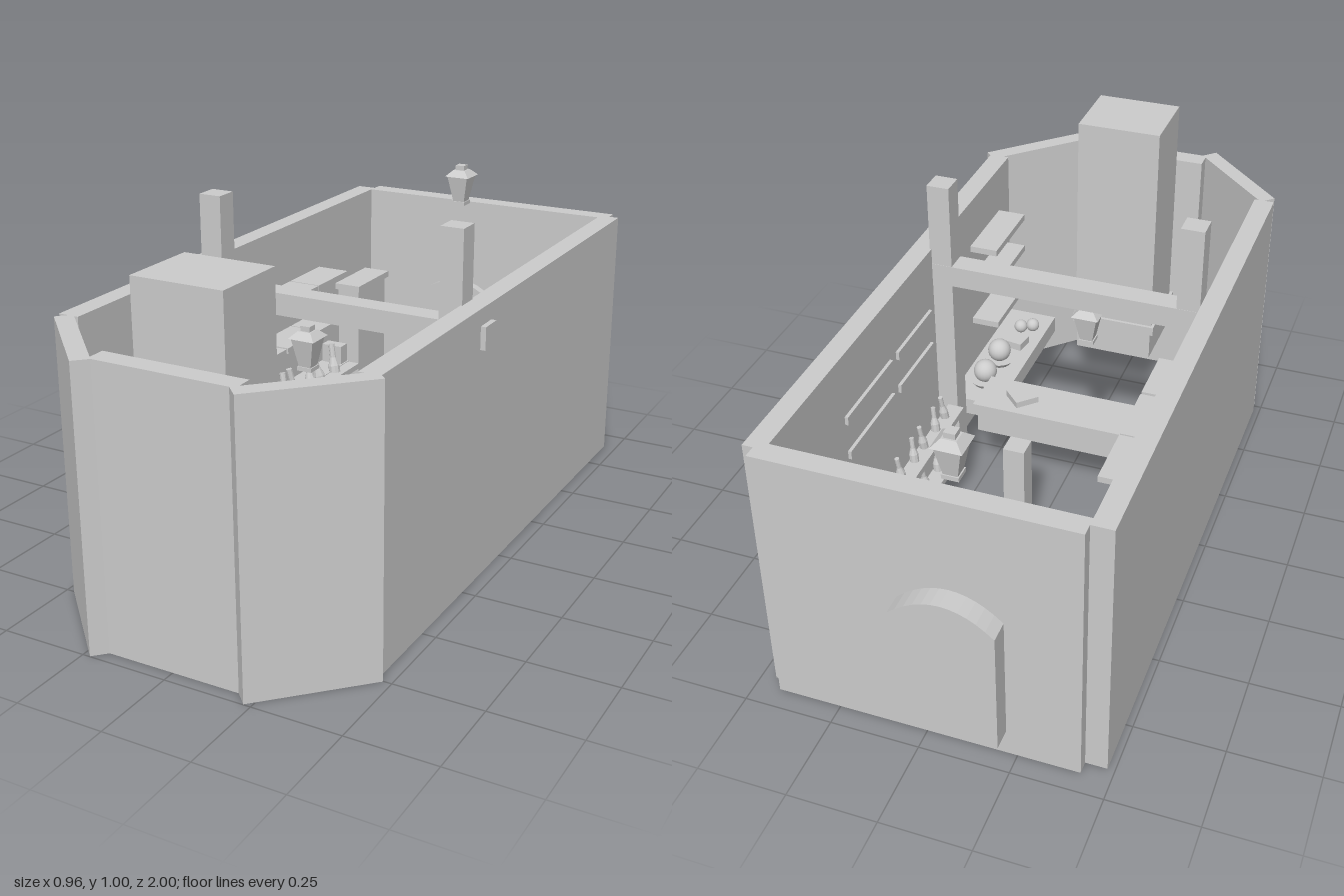
import * as THREE from 'three';

export function createModel() {
  const root = new THREE.Group();
  const mat = new THREE.MeshStandardMaterial({ color: 0xcccccc, flatShading: true });
  const smooth = new THREE.MeshStandardMaterial({ color: 0xcccccc });

  const add = (name, geo, x, y, z, parent = root, m = mat) => {
    const mesh = new THREE.Mesh(geo, m);
    mesh.name = name;
    mesh.position.set(x, y, z);
    parent.add(mesh);
    return mesh;
  };
  // Box given by its limits on each axis
  const box = (name, x0, x1, y0, y1, z0, z1) =>
    add(name, new THREE.BoxGeometry(x1 - x0, y1 - y0, z1 - z0), (x0 + x1) / 2, (y0 + y1) / 2, (z0 + z1) / 2);

  // Outer walls
  const H = 0.793;
  box('rightWall', -0.48, -0.42, 0, H, -0.905, 0.725);
  box('leftWall', 0.4, 0.46, 0, H, -0.905, 0.74);
  box('backWall', -0.42, 0.43, 0, H, -0.94, -0.88);
  box('frontWall', -0.205, 0.21, 0, H, 0.903, 0.963);
  for (const s of [-1, 1]) {
    const wall = add('cornerWall', new THREE.BoxGeometry(0.35, H, 0.05), s * 0.335, H / 2, 0.857);
    wall.rotation.y = s * Math.PI / 4;
  }

  // Arched door through the back wall
  const door = new THREE.Shape();
  door.moveTo(-0.14, 0.08);
  door.lineTo(0.14, 0.08);
  door.lineTo(0.14, 0.455);
  for (let i = 1; i <= 12; i++) {
    const t = -1 + i / 6;
    door.lineTo(-0.14 * t, 0.455 + 0.065 * (1 - t * t));
  }
  add('archedDoor', new THREE.ExtrudeGeometry(door, { depth: 0.15, bevelEnabled: false }), -0.08, 0, -1);

  // Posts and cross beam
  box('post', -0.41, -0.342, 0.05, 1, 0.108, 0.175);
  box('post', 0.338, 0.405, 0.05, 1, 0.108, 0.175);
  box('crossBeam', -0.42, 0.475, 0.68, 0.745, 0.107, 0.175);
  box('shortPost', 0.02, 0.085, 0.08, 0.33, -0.155, -0.09);

  // Fireplace and chimney
  box('hearth', -0.12, 0.13, 0.17, 0.27, 0.67, 0.88);
  box('mantel', -0.135, 0.143, 0.27, 0.3, 0.652, 0.897);
  box('chimney', -0.125, 0.135, 0.3, 0.988, 0.662, 0.887);

  // Tapered square lanterns
  const frustum = (top, bottom, h) =>
    new THREE.CylinderGeometry(top * Math.SQRT1_2, bottom * Math.SQRT1_2, h, 4).rotateY(Math.PI / 4);
  const lantern = (x, y, z) => {
    const g = new THREE.Group();
    g.name = 'lantern';
    g.position.set(x, y, z);
    add('lanternBase', new THREE.BoxGeometry(0.045, 0.012, 0.045), 0, 0.006, 0, g);
    add('lanternBody', frustum(0.07, 0.038, 0.085), 0, 0.054, 0, g);
    add('lanternRoof', frustum(0.04, 0.082, 0.02), 0, 0.106, 0, g);
    add('lanternCap', new THREE.BoxGeometry(0.03, 0.016, 0.03), 0, 0.123, 0, g);
    root.add(g);
  };
  lantern(-0.063, 0.792, -0.84);
  lantern(-0.063, 0.535, 0.175);

  // L-shaped bar and counter
  box('barBase', -0.19, 0.27, 0.17, 0.25, 0.105, 0.24);
  box('barTop', -0.345, 0.28, 0.25, 0.275, 0.093, 0.252);
  box('counter', 0.23, 0.39, 0.17, 0.225, 0.175, 0.72);
  const book = add('book', new THREE.BoxGeometry(0.075, 0.02, 0.075), 0.145, 0.285, 0.17);
  book.rotation.y = Math.PI / 4;

  // Things on the counter
  for (const z of [0.28, 0.405]) {
    add('plate', new THREE.CylinderGeometry(0.048, 0.036, 0.016, 20), 0.312, 0.233, z);
    add('loaf', new THREE.SphereGeometry(0.037, 20, 14), 0.312, 0.272, z, root, smooth);
  }
  const block = add('choppingBoard', new THREE.BoxGeometry(0.06, 0.025, 0.06), 0.295, 0.2375, 0.52);
  block.rotation.y = -0.15;
  for (const [x, z] of [[0.275, 0.62], [0.31, 0.6]])
    add('fruit', new THREE.SphereGeometry(0.022, 14, 10), x, 0.246, z, root, smooth);

  // Kitchen shelves
  for (const y of [0.37, 0.52, 0.635]) box('kitchenShelf', 0.312, 0.4, y - 0.01, y + 0.01, 0.4, 0.65);

  // Bottle: lathe body with a neck, leaning sideways and forward
  const bottleGeo = new THREE.LatheGeometry(
    [[0, 0], [0.017, 0], [0.017, 0.085], [0.009, 0.11], [0.009, 0.15], [0, 0.15]].map(p => new THREE.Vector2(...p)), 10);
  const bottle = (x, y, z, tiltX, tiltZ, size) => {
    const b = add('bottle', bottleGeo, x, y, z);
    b.rotation.set(tiltX, 0, tiltZ);
    b.scale.setScalar(size);
  };

  // Long rack with two rows of bottles and shelves above
  for (const z of [-0.49, 0.06]) box('rackEnd', -0.385, -0.315, 0.08, 0.36, z - 0.02, z + 0.02);
  for (const y of [0.16, 0.28]) {
    box('rackShelf', -0.39, -0.31, y, y + 0.02, -0.515, 0.085);
    box('rackRail', -0.315, -0.27, y, y + 0.018, -0.51, 0);
    for (let i = 0; i < 5; i++) bottle(-0.29, y - 0.055, -0.4 + i * 0.077, i % 2 ? 0.12 : -0.12, 0.2, 1.1);
  }
  for (const y of [0.45, 0.6])
    for (const [z0, z1] of [[-0.515, -0.33], [-0.325, -0.135], [-0.125, 0.05]])
      box('wallShelf', -0.42, -0.315, y - 0.009, y + 0.009, z0, z1);

  // Narrow rack on the other side
  for (const y of [0.15, 0.3]) {
    box('narrowRackShelf', 0.275, 0.325, y, y + 0.02, -0.425, 0.01);
    for (let i = 0; i < 5; i++) bottle(0.305, y - 0.025, -0.36 + i * 0.078, i % 2 ? 0.1 : -0.1, -0.12, 0.8);
  }
  for (const z of [-0.41, -0.005]) box('narrowRackEnd', 0.28, 0.32, 0.08, 0.3, z - 0.012, z + 0.012);

  // Thin slats on the wall
  for (const y of [0.48, 0.595])
    for (const [z0, z1] of [[-0.5, -0.21], [-0.17, 0.07]]) box('wallSlat', 0.39, 0.402, y - 0.013, y + 0.013, z0, z1);

  // Cabinet and low bench by the back wall
  box('cabinet', -0.395, -0.32, 0.12, 0.515, -0.79, -0.6);
  box('cabinetTop', -0.402, -0.312, 0.515, 0.535, -0.802, -0.59);
  box('bench', 0.322, 0.373, 0.08, 0.25, -0.78, -0.61);

  return root;
}
